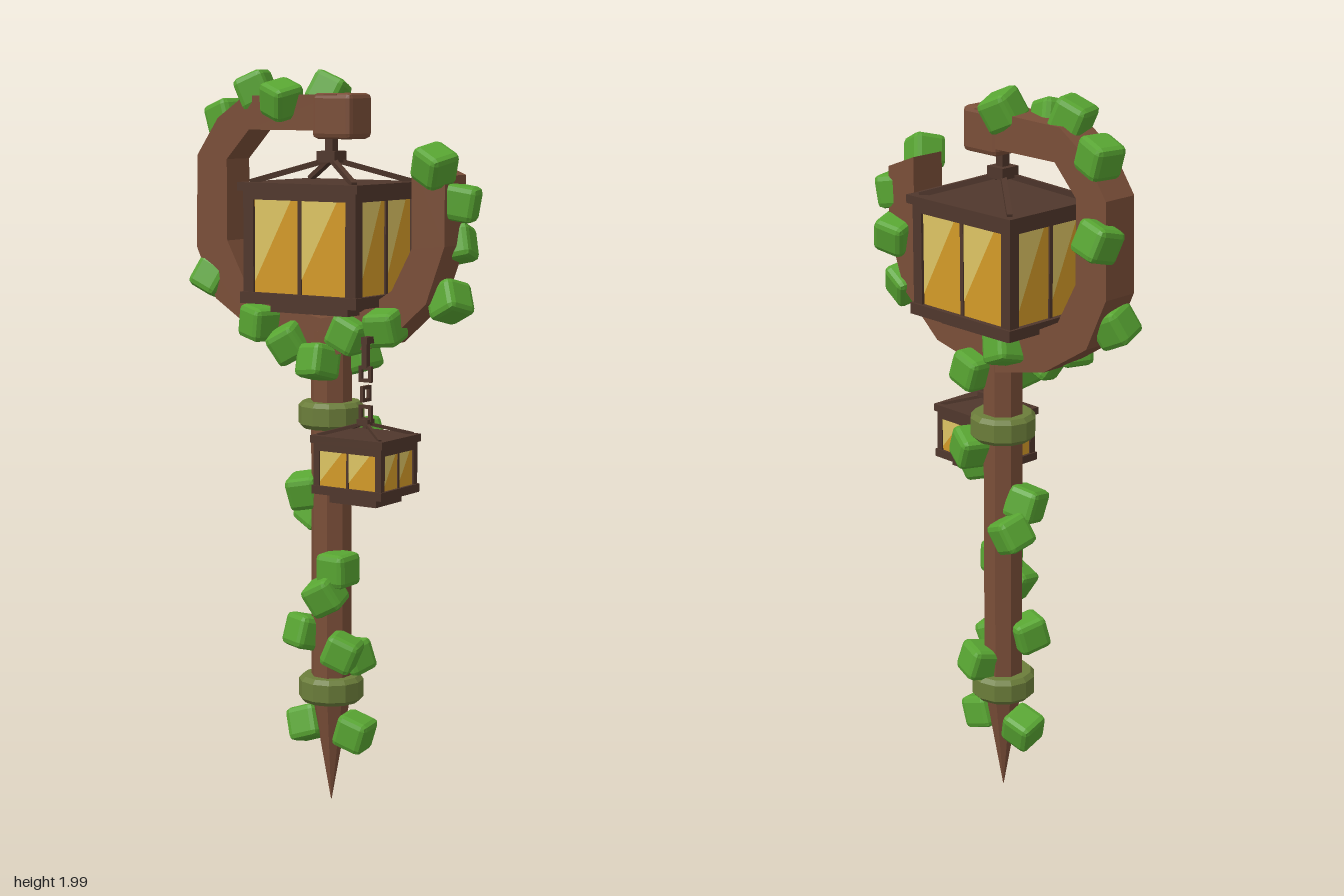
import * as THREE from 'three';
import { RoundedBoxGeometry } from 'three/addons/geometries/RoundedBoxGeometry.js';

const mat = (color) => new THREE.MeshStandardMaterial({ color, flatShading: true });
const WOOD = mat(0x7a4e38), METAL = mat(0x50372c), MOSS = mat(0x6b7d3a), LEAF = mat(0x58a532);
const AMBER = mat(0xd39a28), SHINE = mat(0xddc463);
const Z = -0.028; // plane of post and hook

function add(parent, name, geometry, material, x = 0, y = 0, z = 0) {
  const m = new THREE.Mesh(geometry, material);
  m.name = name;
  m.position.set(x, y, z);
  parent.add(m);
  return m;
}
const box = (p, name, material, w, h, d, x, y, z) =>
  add(p, name, new THREE.BoxGeometry(w, h, d), material, x, y, z);

// Straight square bar between two points
function bar(parent, name, a, b, t) {
  const m = box(parent, name, METAL, t, t, a.distanceTo(b), 0, 0, 0);
  m.position.copy(a).lerp(b, 0.5);
  m.lookAt(b);
  return m;
}

// Lantern with its base at y = 0; hx, hz are the half sizes of the roof plate
function lantern(name, hx, hz, s) {
  const g = new THREE.Group();
  g.name = name;
  const { base, rail, glass, roof, rise, post } = s;
  const bx = hx * 0.94, bz = hz * 0.93;
  const y1 = base + rail, y2 = y1 + glass, y3 = y2 + roof;
  box(g, 'base', METAL, hx * 1.3, base, hz * 1.3, 0, base / 2, 0);
  box(g, 'lowerRail', METAL, hx * 1.95, rail, hz * 1.95, 0, base + rail / 2, 0);
  box(g, 'upperRail', METAL, bx * 2, roof / 2, bz * 2, 0, y2 + roof / 4, 0);
  box(g, 'roofPlate', METAL, hx * 2, roof / 2, hz * 2, 0, y3 - roof / 4, 0);
  const gx = bx - post * 0.25, gz = bz - post * 0.25;
  box(g, 'glass', AMBER, gx * 2, glass, gz * 2, 0, y1 + glass / 2, 0);

  // Four sides: centre bar and two panes with a diagonal shine
  for (let k = 0; k < 4; k++) {
    const side = new THREE.Group();
    side.name = 'side';
    side.rotation.y = k * Math.PI / 2;
    const w = k % 2 ? gz : gx, d = k % 2 ? gx : gz;
    box(side, 'mullion', METAL, post * 0.35, glass, post * 0.3, 0, y1 + glass / 2, d);
    const pw = w - post * 0.8;
    for (const x0 of [-pw, 0]) {
      const shine = new THREE.Shape([[0, 0.12], [0.8, 1], [0, 1]]
        .map(([u, v]) => new THREE.Vector2(x0 + u * pw, y1 + v * glass)));
      add(side, 'paneShine', new THREE.ShapeGeometry(shine), SHINE, 0, 0, d + 0.002);
    }
    g.add(side);
  }
  // Corner posts and roof bars rising to the cap
  const top = y3 + rise;
  for (const sx of [-1, 1]) for (const sz of [-1, 1]) {
    box(g, 'cornerPost', METAL, post, glass, post,
      sx * (bx - post / 2), y1 + glass / 2, sz * (bz - post / 2));
    bar(g, 'roofBar', new THREE.Vector3(sx * hx * 0.87, y3, sz * hz * 0.85),
      new THREE.Vector3(0, top, 0), hx * 0.075);
  }
  box(g, 'cap', METAL, hx * 0.3, rise * 0.5, hx * 0.3, 0, top + rise * 0.1, 0);
  return g;
}

// Mossy band around the post
function band(parent, y) {
  const pts = [[0.05, -0.036], [0.078, -0.036], [0.089, -0.024], [0.089, 0.024], [0.078, 0.036], [0.05, 0.036]]
    .map(([r, h]) => new THREE.Vector2(r, h));
  add(parent, 'mossBand', new THREE.LatheGeometry(pts, 12), MOSS, 0, y, Z);
}

// Square chain link
function link(parent, x, y, z, turned) {
  const g = new THREE.Group();
  g.name = 'chainLink';
  for (const s of [-1, 1]) {
    box(g, 'linkSide', METAL, 0.009, 0.042, 0.009, s * 0.015, 0, 0);
    box(g, 'linkEnd', METAL, 0.039, 0.009, 0.009, 0, s * 0.0165, 0);
  }
  g.position.set(x, y, z);
  g.rotation.y = turned ? Math.PI / 2 : 0;
  parent.add(g);
}

export function createModel() {
  const model = new THREE.Group();
  model.name = 'hookLanternPost';

  // Post and spike
  add(model, 'post', new THREE.CylinderGeometry(0.056, 0.056, 1.02, 8).rotateY(Math.PI / 8), WOOD, 0, 0.8, Z);
  add(model, 'spike', new THREE.CylinderGeometry(0.056, 0.001, 0.31, 8).rotateY(Math.PI / 8), WOOD, 0, 0.16, Z);
  band(model, 0.325);
  band(model, 1.083);

  // Curled hook
  const outline = [
    [0.05, 1.935], [-0.25, 1.93], [-0.34, 1.87], [-0.41, 1.77], [-0.415, 1.52], [-0.35, 1.38], [-0.2, 1.285],
    [0, 1.24], [0.2, 1.285], [0.33, 1.4], [0.385, 1.55], [0.385, 1.73],
    [0.285, 1.77], [0.285, 1.54], [0.225, 1.43], [0.13, 1.37], [0, 1.345], [-0.13, 1.37],
    [-0.25, 1.43], [-0.31, 1.54], [-0.31, 1.76], [-0.235, 1.84], [0.05, 1.84],
  ].map(([x, y]) => new THREE.Vector2(x, y));
  add(model, 'hook', new THREE.ExtrudeGeometry(new THREE.Shape(outline), { depth: 0.102, bevelEnabled: false }),
    WOOD, 0, 0, Z - 0.051);
  add(model, 'hookEnd', new RoundedBoxGeometry(0.125, 0.12, 0.108, 1, 0.014), WOOD, 0.033, 1.878, Z);

  // Large lantern hanging in the hook
  const big = lantern('largeLantern', 0.191, 0.163,
    { base: 0.025, rail: 0.03, glass: 0.245, roof: 0.045, rise: 0.06, post: 0.032 });
  big.position.set(0, 1.36, Z);
  model.add(big);
  box(model, 'hanger', METAL, 0.024, 0.06, 0.024, 0, 1.8, Z);

  // Small lantern on its chain
  const sx = 0.193, sz = 0.095;
  const small = lantern('smallLantern', 0.112, 0.093,
    { base: 0.025, rail: 0.022, glass: 0.092, roof: 0.04, rise: 0.03, post: 0.018 });
  small.position.set(sx, 0.88, sz);
  model.add(small);
  box(model, 'hanger', METAL, 0.012, 0.025, 0.012, sx, 1.088, sz);
  [1.115, 1.166, 1.217].forEach((y, i) => link(model, sx, y, sz, i === 1));
  box(model, 'chainPin', METAL, 0.016, 0.07, 0.016, sx, 1.27, sz);
  box(model, 'chainBracket', METAL, 0.018, 0.018, 0.1, sx, 1.305, 0.053);

  // Leaf clumps along hook and post
  const leafGeo = new RoundedBoxGeometry(0.092, 0.092, 0.092, 1, 0.016);
  const leaves = [
    [-0.24, 1.945, -0.02], [-0.125, 1.92, 0.025], [-0.03, 1.938, -0.055], [-0.365, 1.87, -0.055],
    [-0.395, 1.67, -0.09], [-0.385, 1.435, -0.01], [-0.19, 1.325, 0.035], [-0.095, 1.275, 0.035],
    [0, 1.23, 0.035], [0.095, 1.31, 0.03], [0.21, 1.335, 0.03], [0.365, 1.405, -0.04],
    [0.395, 1.66, -0.04], [0.355, 1.755, 0.025], [0.36, 1.55, -0.08], [0.05, 1.24, -0.09], [-0.07, 1.33, -0.09],
    [0.075, 0.97, -0.04], [0.06, 1.02, -0.09], [-0.07, 0.87, -0.01], [-0.075, 0.8, -0.07],
    [0.055, 0.67, 0.02], [0.03, 0.6, 0.045], [-0.06, 0.48, 0.01], [0.065, 0.44, 0.015],
    [0.03, 0.4, -0.09], [-0.08, 0.21, -0.03], [0.08, 0.21, -0.025],
  ];
  leaves.forEach(([x, y, z], i) => {
    const m = add(model, 'leafClump', leafGeo, LEAF, x, y, z);
    m.rotation.set(0.3 * Math.sin(i * 2.1), 0.35 * Math.sin(i * 3.7 + 1), 0.45 * Math.sin(i * 1.7 + 2));
  });

  return model;
}
